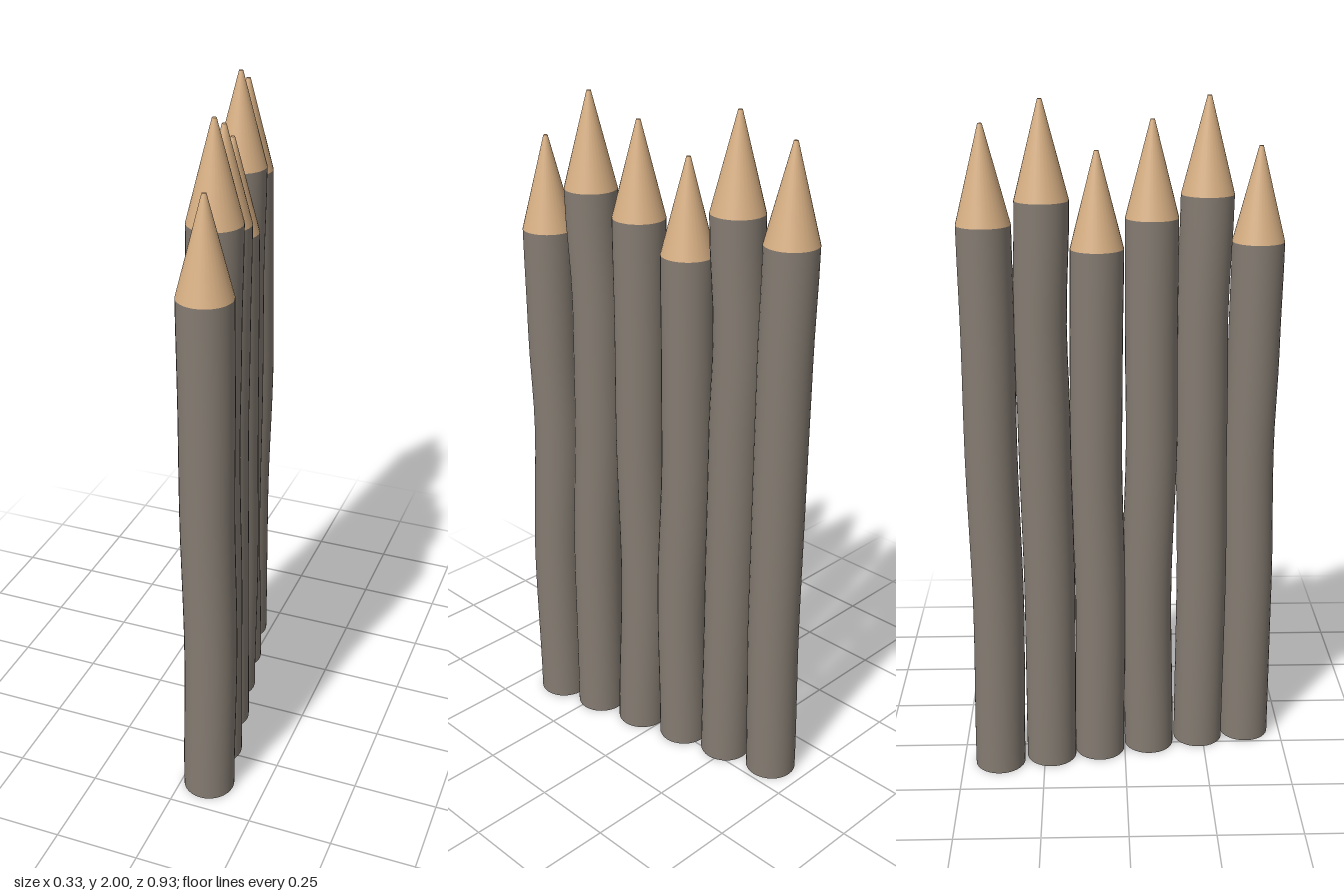
import * as THREE from 'three';

const RADIUS = 0.076;
const TIP_HEIGHT = 0.27;

// Each stake: foot x and z, shoulder height, sideways bends [x, z] at the heights below
const BEND_HEIGHTS = [0.32, 0.62, 0.8];
const STAKES = [
  { x: -0.091, z: -0.387, h: 1.67, bends: [[0.002, 0.008], [0.01, 0], [0.006, 0.002]] },
  { x: -0.055, z: -0.229, h: 1.73, bends: [[-0.008, 0.003], [-0.006, -0.004], [-0.01, -0.011]] },
  { x: -0.022, z: -0.078, h: 1.67 - 0.08, bends: [[0.008, 0.004], [0, -0.006], [0, -0.004]] },
  { x: 0.013, z: 0.077, h: 1.67, bends: [[-0.008, -0.01], [-0.006, 0.003], [-0.004, 0]] },
  { x: 0.048, z: 0.235, h: 1.73, bends: [[0, 0.003], [-0.012, -0.006], [-0.01, -0.011]] },
  { x: 0.08, z: 0.386, h: 1.59, bends: [[0.008, 0], [-0.004, -0.011], [0, -0.004]] },
];

// Smoothly interpolated sideways offset at height fraction t
function bendAt(bends, t) {
  const ts = [0, ...BEND_HEIGHTS, 1];
  const os = [[0, 0], ...bends, [0, 0]];
  let i = 0;
  while (i < ts.length - 2 && t > ts[i + 1]) i++;
  const k = THREE.MathUtils.smoothstep(t, ts[i], ts[i + 1]);
  return [0, 1].map((a) => THREE.MathUtils.lerp(os[i][a], os[i + 1][a], k));
}

// Gently crooked round shaft standing on y = 0
function shaftGeometry(height, bends) {
  const geo = new THREE.CylinderGeometry(RADIUS, RADIUS, height, 32, 20);
  geo.translate(0, height / 2, 0);
  const pos = geo.attributes.position;
  for (let i = 0; i < pos.count; i++) {
    const [dx, dz] = bendAt(bends, pos.getY(i) / height);
    pos.setX(i, pos.getX(i) + dx);
    pos.setZ(i, pos.getZ(i) + dz);
  }
  return geo;
}

export function createModel() {
  const bark = new THREE.MeshStandardMaterial({ color: 0x857c72 });
  bark.name = 'weathered bark';
  const cutWood = new THREE.MeshStandardMaterial({ color: 0xd8b084 });
  cutWood.name = 'cut wood';

  const palisade = new THREE.Group();
  palisade.name = 'palisade';

  // Sharpened point, shared by all stakes
  const tipGeo = new THREE.CylinderGeometry(0.006, RADIUS, TIP_HEIGHT, 32);
  tipGeo.translate(0, TIP_HEIGHT / 2, 0);

  STAKES.forEach(({ x, z, h, bends }) => {
    const stake = new THREE.Group();
    stake.name = 'stake';
    stake.position.set(x, 0, z);

    const shaft = new THREE.Mesh(shaftGeometry(h, bends), bark);
    shaft.name = 'shaft';
    const tip = new THREE.Mesh(tipGeo, cutWood);
    tip.name = 'sharpenedTip';
    tip.position.y = h;

    stake.add(shaft, tip);
    palisade.add(stake);
  });
  return palisade;
}
